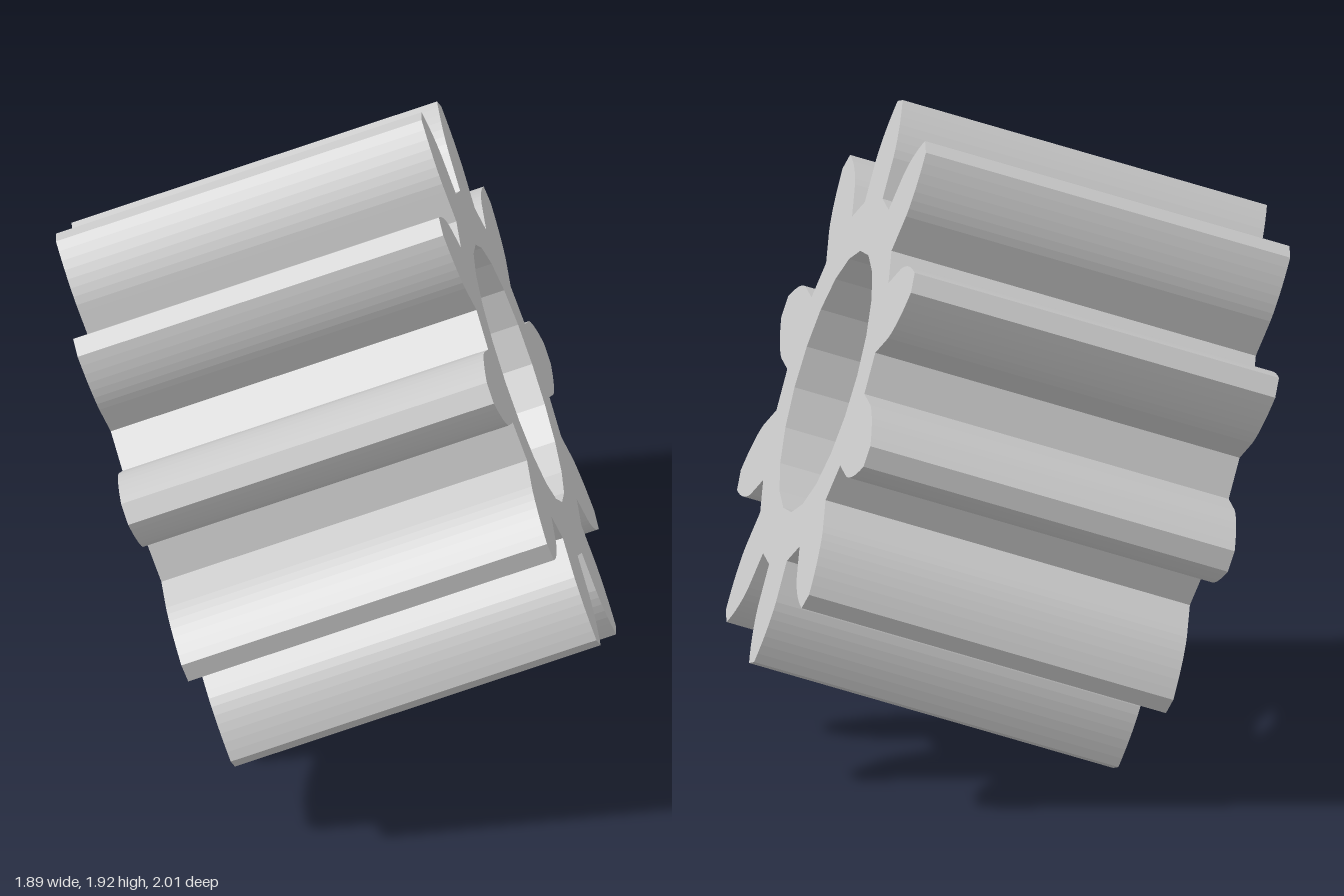
import * as THREE from 'three';

const TEETH = 10, ROOT = 0.56, BASE = 0.658, TIP = 0.852, BORE = 0.396, LENGTH = 1.13;
const PHASE = THREE.MathUtils.degToRad(73.4);
const FLANK_STEPS = 8, BORE_SIDES = 20;

// Half the angle a tooth covers at radius r: involute above the base circle, parallel flanks below it.
function halfAngle(r) {
  const baseHalf = Math.PI / TEETH / 2 + 0.0149;
  if (r < BASE) return Math.asin(BASE * Math.sin(baseHalf) / r);
  const pressure = Math.acos(BASE / r);
  return baseHalf - (Math.tan(pressure) - pressure);
}

const polar = (r, a) => new THREE.Vector2(r * Math.cos(a), r * Math.sin(a));

function gearShape() {
  const radii = [ROOT];
  for (let i = 0; i <= FLANK_STEPS; i++) radii.push(BASE + (TIP - BASE) * i / FLANK_STEPS);

  // Each tooth goes up one flank and down the other
  const outline = [];
  for (let t = 0; t < TEETH; t++) {
    const mid = PHASE + t * 2 * Math.PI / TEETH;
    for (const r of radii) outline.push(polar(r, mid - halfAngle(r)));
    for (const r of [...radii].reverse()) outline.push(polar(r, mid + halfAngle(r)));
  }

  // Central bore
  const bore = [];
  for (let i = 0; i < BORE_SIDES; i++) bore.push(polar(BORE, PHASE - i * 2 * Math.PI / BORE_SIDES));

  const shape = new THREE.Shape(outline);
  shape.holes.push(new THREE.Path(bore));
  return shape;
}

export function createModel() {
  const group = new THREE.Group();
  group.name = 'pinionGear';

  const geometry = new THREE.ExtrudeGeometry(gearShape(), { depth: LENGTH, bevelEnabled: false });
  geometry.translate(0, 0, -LENGTH / 2);

  // Tilt the gear so its axle runs along the slanted axis
  const axis = new THREE.Vector3(0.828, 0.319, -0.46).normalize();
  const side = new THREE.Vector3(0, 1, 0).cross(axis).normalize();
  const up = axis.clone().cross(side);

  const gear = new THREE.Mesh(geometry, new THREE.MeshStandardMaterial({ color: 0xcccccc, flatShading: true }));
  gear.name = 'gearBody';
  gear.quaternion.setFromRotationMatrix(new THREE.Matrix4().makeBasis(side, up, axis));
  gear.position.y = 0.957;
  group.add(gear);
  return group;
}
